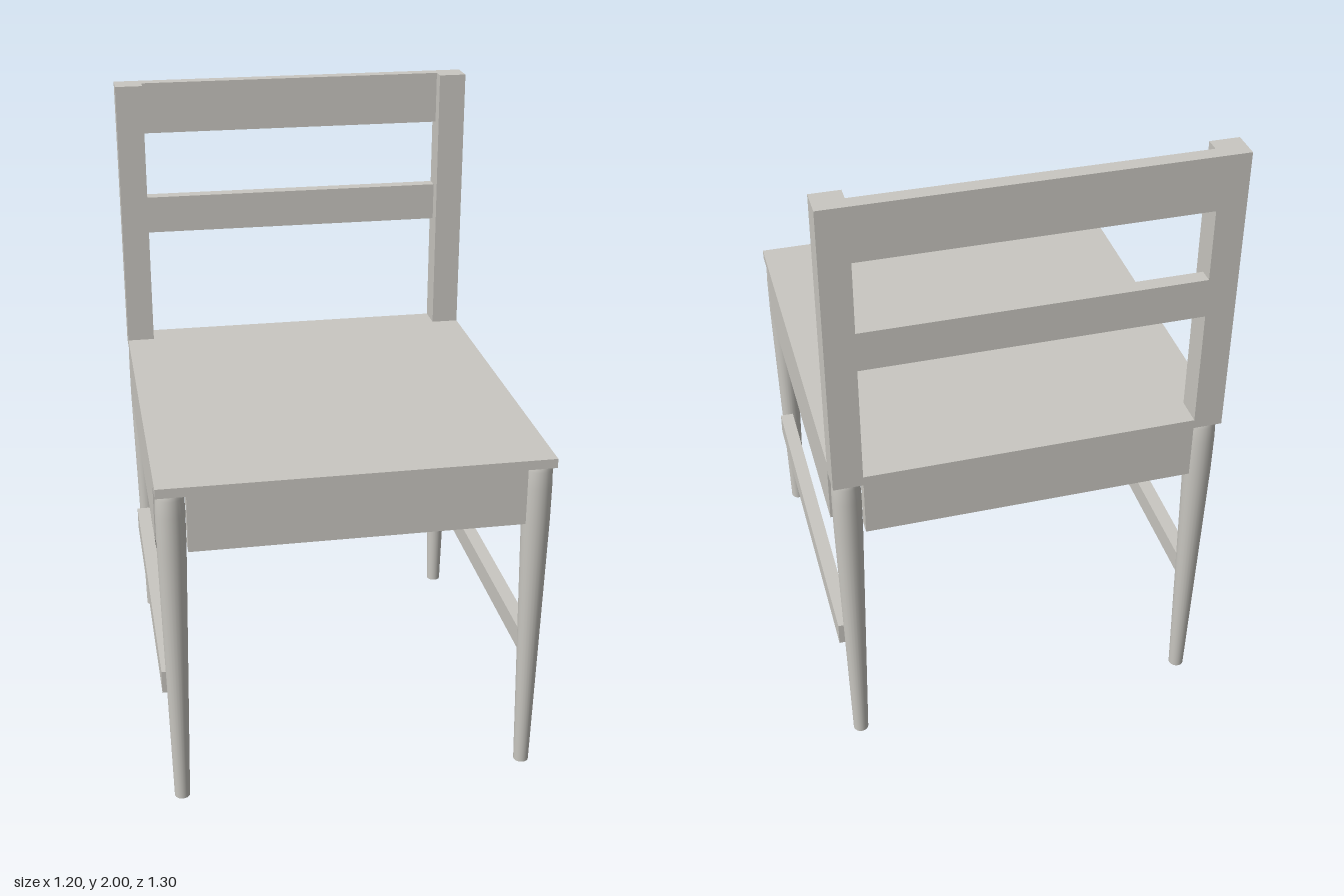
import * as THREE from 'three';

export function createModel() {
  const chair = new THREE.Group();
  chair.name = 'chair';
  const paint = new THREE.MeshStandardMaterial({ color: 0xc9c7c1 });
  paint.name = 'warm grey';

  const W = 0.6, D = 0.65;      // half width and half depth
  const post = 0.09;            // square section of the back posts
  const board = 0.045;          // thickness of rails and aprons
  const seatTop = 1.1, seatBottom = 1.07;

  // Box given by its limits on each axis
  function box(name, [x0, x1], [y0, y1], [z0, z1]) {
    const mesh = new THREE.Mesh(new THREE.BoxGeometry(x1 - x0, y1 - y0, z1 - z0), paint);
    mesh.position.set((x0 + x1) / 2, (y0 + y1) / 2, (z0 + z1) / 2);
    mesh.name = name;
    chair.add(mesh);
  }

  const innerX = [-W + post, W - post];
  const innerZ = [-D + post, D - post];
  const apronY = [0.89, seatBottom];
  const backZ = [-D, -D + board];

  // Seat
  box('seat', [-W, W], [seatBottom, seatTop], [-D, D]);

  // Front and back aprons
  box('frontApron', innerX, apronY, [D - board, D]);
  box('backApron', innerX, apronY, backZ);

  // Backrest rails
  box('topRail', innerX, [1.83, 2], backZ);
  box('middleRail', innerX, [1.48, 1.605], backZ);

  // Parts on both sides
  for (const [side, s] of [['left', 1], ['right', -1]]) {
    const span = (t) => (s > 0 ? [W - t, W] : [-W, -W + t]);
    box(side + 'BackPost', span(post), [seatTop, 2], [-D, -D + post]);
    box(side + 'Apron', span(board), apronY, innerZ);
    box(side + 'Stretcher', span(board), [0.355, 0.43], innerZ);
  }

  // Tapered round legs
  const profile = [[0.024, 0], [0.044, 0.88], [0.0445, 1.0], [0.043, 1.055], [0.039, seatBottom]]
    .map(([r, y]) => new THREE.Vector2(r, y));
  const legGeometry = new THREE.LatheGeometry(profile, 24);
  const footGeometry = new THREE.CircleGeometry(0.024, 24).rotateX(Math.PI / 2);
  for (const [side, x] of [['Left', W - post / 2], ['Right', -W + post / 2]]) {
    for (const [end, z] of [['front', D - post / 2], ['back', -D + post / 2]]) {
      const leg = new THREE.Group();
      leg.name = end + side + 'Leg';
      const shaft = new THREE.Mesh(legGeometry, paint);
      shaft.name = 'legShaft';
      const foot = new THREE.Mesh(footGeometry, paint);
      foot.name = 'footEnd';
      leg.add(shaft, foot);
      leg.position.set(x, 0, z);
      chair.add(leg);
    }
  }

  return chair;
}
